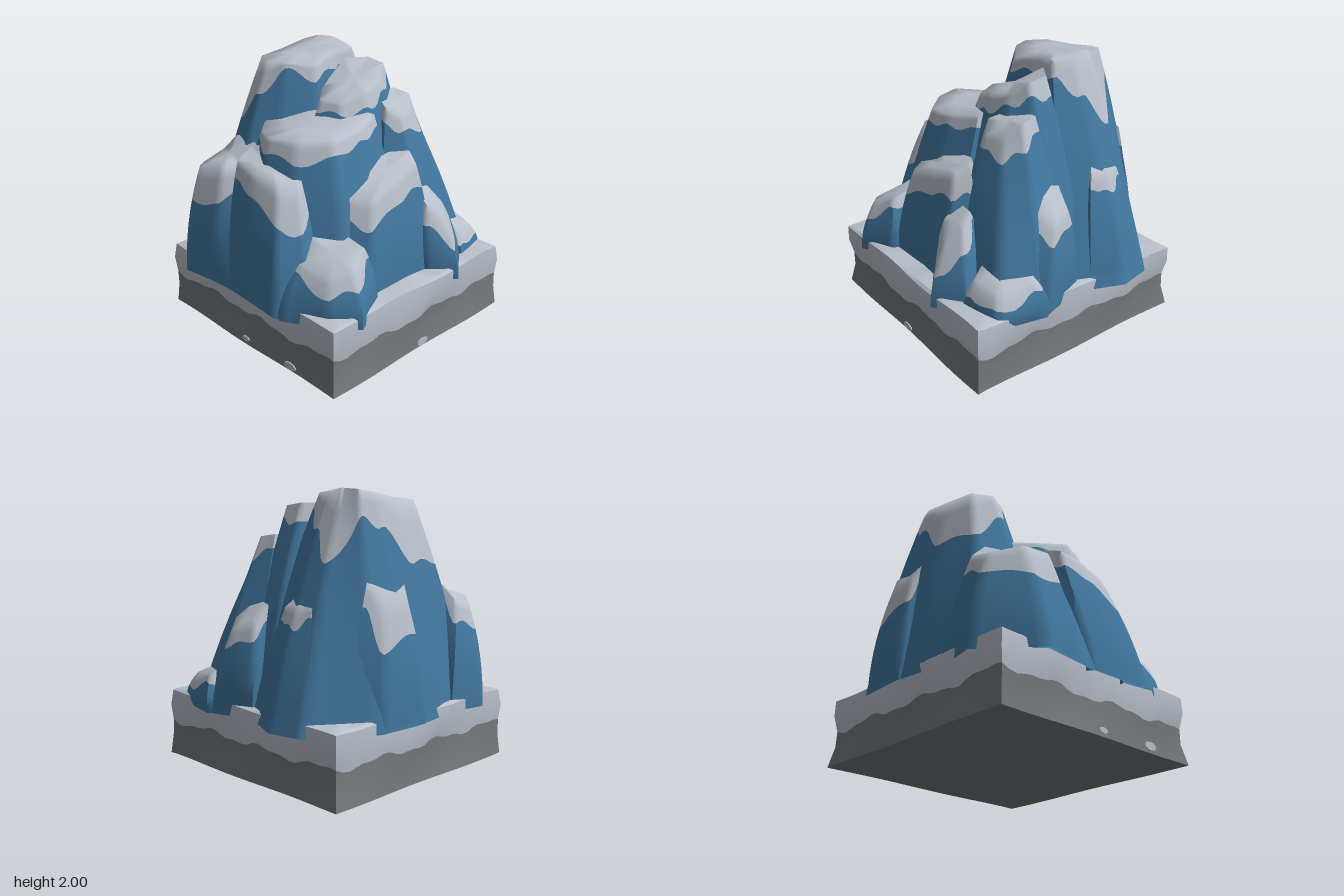
import * as THREE from 'three';
import { mergeVertices, toCreasedNormals } from 'three/addons/utils/BufferGeometryUtils.js';

const material = (name, color) => {
  const m = new THREE.MeshStandardMaterial({ color });
  m.name = name;
  return m;
};

const FOOT = 0.42;  // height where the rock meets the base
const STEPS = 6;    // subdivisions between two outline points

// Each outline point: rim x, y, z, foot x, z, height of the snow line.
const LOBES = {
  mainPeak: [
    [-0.18, 1.95, -0.15, 0.1, -0.2, 1.85], [-0.14, 1.9, 0.05, 0.1, 0.3, 1.8],
    [-0.28, 1.92, 0.22, -0.1, 0.5, 1.87], [-0.42, 1.92, 0.28, -0.4, 0.75, 1.68],
    [-0.56, 1.92, 0.2, -0.8, 0.6, 1.48], [-0.6, 1.93, -0.02, -0.89, 0.1, 1.5],
    [-0.6, 1.97, -0.25, -0.92, -0.15, 1.74], [-0.56, 1.99, -0.36, -0.9, -0.48, 1.8],
    [-0.42, 2, -0.38, -0.6, -0.93, 1.5], [-0.3, 1.98, -0.38, -0.35, -0.98, 1.72],
    [-0.16, 1.97, -0.33, 0.08, -0.8, 1.85]],
  secondPeak: [
    [0.2, 1.75, -0.1, 0.5, -0.1, 1.62], [0.15, 1.68, 0.08, 0.4, 0.3, 1.6],
    [0, 1.7, 0.14, 0, 0.5, 1.62], [-0.12, 1.74, 0, -0.2, 0.1, 1.7],
    [-0.15, 1.9, -0.25, -0.3, -0.3, 1.86], [-0.05, 1.9, -0.4, -0.1, -0.8, 1.75],
    [0.1, 1.88, -0.4, 0.1, -0.82, 1.78], [0.18, 1.78, -0.28, 0.5, -0.5, 1.7]],
  backShoulder: [
    [0.38, 1.55, -0.3, 0.72, -0.25, 1.45], [0.3, 1.62, -0.22, 0.5, 0, 1.5],
    [0.12, 1.68, -0.3, 0, -0.2, 1.6], [0.12, 1.68, -0.5, 0.05, -0.8, 1.6],
    [0.25, 1.66, -0.52, 0.35, -0.93, 1.5], [0.34, 1.58, -0.44, 0.65, -0.8, 1.42]],
  frontShoulder: [
    [0.38, 1.55, 0.15, 0.68, 0.2, 1.48], [0.37, 1.53, 0.38, 0.66, 0.5, 1.42],
    [0.2, 1.53, 0.55, 0.3, 0.75, 1.38], [0, 1.53, 0.62, 0, 0.8, 1.42],
    [-0.2, 1.5, 0.52, -0.3, 0.8, 1.44], [-0.35, 1.52, 0.35, -0.5, 0.6, 1.46],
    [-0.2, 1.6, 0.1, -0.3, 0.1, 1.55], [0.1, 1.62, -0.05, 0.1, -0.1, 1.55],
    [0.3, 1.6, -0.1, 0.6, -0.1, 1.5]],
  frontLeftLedge: [
    [-0.25, 1.24, 0.65, -0.1, 0.92, 1.12], [-0.35, 1.25, 0.76, -0.3, 0.93, 1],
    [-0.6, 1.2, 0.78, -0.58, 0.97, 0.95], [-0.76, 1.15, 0.62, -0.91, 0.6, 1],
    [-0.76, 1.2, 0.45, -0.85, 0.3, 1.05], [-0.62, 1.34, 0.42, -0.7, 0.3, 1.25],
    [-0.45, 1.38, 0.42, -0.4, 0.3, 1.3], [-0.25, 1.34, 0.5, -0.1, 0.4, 1.25]],
  frontLedge: [
    [0.3, 1.25, 0.64, 0.55, 0.78, 0.95], [0.22, 1.27, 0.74, 0.4, 0.95, 1],
    [0, 1.31, 0.76, 0.1, 0.93, 1.17], [-0.2, 1.34, 0.74, -0.1, 0.92, 1.2],
    [-0.22, 1.4, 0.6, -0.3, 0.6, 1.3], [-0.1, 1.44, 0.55, -0.1, 0.5, 1.35],
    [0.25, 1.32, 0.5, 0.4, 0.4, 1.25]],
  rightLedge: [
    [0.62, 1.22, 0, 0.73, 0, 1.08], [0.63, 1.15, 0.25, 0.75, 0.35, 0.95],
    [0.5, 1.15, 0.35, 0.6, 0.5, 1], [0.4, 1.28, 0.2, 0.3, 0.3, 1.2],
    [0.4, 1.33, -0.15, 0.3, -0.2, 1.25], [0.5, 1.34, -0.26, 0.5, -0.5, 1.15],
    [0.6, 1.28, -0.22, 0.76, -0.25, 1.12]],
  frontRightLedge: [
    [0.78, 0.8, 0.6, 0.91, 0.62, 0.68], [0.7, 0.76, 0.72, 0.75, 0.78, 0.64],
    [0.45, 0.78, 0.76, 0.45, 0.94, 0.72], [0.36, 0.92, 0.6, 0.2, 0.9, 0.88],
    [0.5, 0.92, 0.42, 0.4, 0.3, 0.88], [0.72, 0.88, 0.42, 0.78, 0.35, 0.8]],
  backRightLedge: [
    [0.7, 0.68, -0.6, 0.78, -0.58, 0.58], [0.5, 0.8, -0.5, 0.4, -0.4, 0.75],
    [0.36, 0.8, -0.65, 0.1, -0.75, 0.75], [0.4, 0.68, -0.88, 0.35, -0.95, 0.62],
    [0.66, 0.65, -0.8, 0.71, -0.87, 0.54]],
  rightSpur: [
    [0.76, 0.88, -0.35, 0.92, -0.37, 0.65], [0.7, 0.98, -0.24, 0.75, -0.2, 0.85],
    [0.58, 1.08, -0.25, 0.45, -0.2, 1], [0.58, 1.06, -0.38, 0.45, -0.5, 1],
    [0.68, 0.95, -0.43, 0.77, -0.58, 0.8]],
  backLedge: [
    [0.28, 1.1, -0.73, 0.48, -0.8, 0.97], [0.25, 1.25, -0.62, 0.4, -0.4, 1.17],
    [0.03, 1.2, -0.65, -0.05, -0.5, 1.12], [0.04, 1.06, -0.77, 0, -0.83, 0.97],
    [0.2, 1.03, -0.82, 0.32, -0.93, 0.9]],
  leftLedge: [
    [-0.6, 1.5, -0.3, -0.5, -0.3, 1.45], [-0.73, 1.4, -0.1, -0.8, 0, 1.3],
    [-0.81, 1.25, -0.15, -0.92, -0.08, 1.05], [-0.8, 1.25, -0.37, -0.9, -0.46, 0.95],
    [-0.72, 1.38, -0.45, -0.75, -0.6, 1.25]],
  backPatch: [
    [-0.22, 1.21, -0.71, -0.12, -0.87, 1.14], [-0.27, 1.29, -0.64, -0.2, -0.4, 1.24],
    [-0.43, 1.29, -0.64, -0.5, -0.4, 1.24], [-0.47, 1.21, -0.7, -0.55, -0.92, 1.15],
    [-0.35, 1.2, -0.73, -0.35, -0.97, 1.08]],
};

// Footprint of the whole mountain, used for the inner core.
const FOOTPRINT = [
  [0.73, 0], [0.75, 0.35], [0.9, 0.62], [0.65, 0.8], [0.4, 0.94], [-0.1, 0.91], [-0.57, 0.95],
  [-0.91, 0.6], [-0.85, 0.3], [-0.92, -0.1], [-0.89, -0.48], [-0.6, -0.92], [-0.35, -0.97],
  [0.08, -0.8], [0.35, -0.94], [0.7, -0.86], [0.77, -0.58], [0.91, -0.37], [0.75, -0.2]];

// Surface through closed rings of points, listed from bottom to top.
function skin(rows, crease) {
  const n = rows[0].length, pos = [], index = [];
  rows.forEach((row) => row.forEach((p) => pos.push(p.x, p.y, p.z)));
  for (let r = 0; r + 1 < rows.length; r++) {
    for (let i = 0; i < n; i++) {
      const j = (i + 1) % n, a = r * n + i, b = r * n + j;
      index.push(a, a + n, b, b, a + n, b + n);
    }
  }
  const g = new THREE.BufferGeometry();
  g.setAttribute('position', new THREE.Float32BufferAttribute(pos, 3));
  g.setIndex(index);
  return toCreasedNormals(mergeVertices(g), crease);
}

function addMesh(parent, name, geometry, mat) {
  const mesh = new THREE.Mesh(geometry, mat);
  mesh.name = name;
  parent.add(mesh);
  return mesh;
}

// Rock lobe with a wall from foot to rim, and snow hanging from the rim.
function makeLobe(name, points, rock, snow, bulge) {
  const group = new THREE.Group();
  group.name = name;
  const columns = [];
  points.forEach((p, i) => {
    const q = points[(i + 1) % points.length];
    for (let s = 0; s < STEPS; s++) {
      const k = s / STEPS, e = k * k * (3 - 2 * k);
      const c = p.map((v, d) => v + (q[d] - v) * (d === 5 ? e : k));
      const line = c[5] + 0.02 * Math.sin(columns.length * 0.9 + c[0] * 7);
      columns.push({
        rim: new THREE.Vector3(c[0], c[1], c[2]),
        foot: new THREE.Vector3(c[3], FOOT, c[4]),
        ts: THREE.MathUtils.clamp((line - FOOT) / (c[1] - FOOT), 0.1, 0.985),
      });
    }
  });
  const centre = new THREE.Vector3();
  columns.forEach((c) => centre.addScaledVector(c.rim, 1 / columns.length));
  const wall = (c, t) => {
    const p = c.foot.clone().lerp(c.rim, t);
    const out = p.clone().sub(centre).setY(0).normalize();
    return p.addScaledVector(out, bulge * 4 * t * (1 - t));
  };
  const rows = (count, f) => Array.from({ length: count + 1 }, (_, r) => columns.map((c) => wall(c, f(c, r / count))));
  const top = [0.5, 1].map((k) => columns.map((c) => {
    const p = c.rim.clone().lerp(centre, k);
    p.y += 0.012 * k;
    return p;
  }));
  if (snow) {
    addMesh(group, name + 'Rock', skin(rows(6, (c, k) => c.ts * k), 1), rock);
    addMesh(group, name + 'Snow', skin([...rows(3, (c, k) => c.ts + (1 - c.ts) * k), ...top], 1.3), snow);
  } else {
    addMesh(group, name + 'Rock', skin([...rows(6, (c, k) => k), ...top], 1), rock);
  }
  return group;
}

// Square plinth: grey stone below a wavy line, snow above it.
function makeBase(stone, snow) {
  const group = new THREE.Group();
  group.name = 'base';
  const N = 28, corners = [[0.89, -0.89], [0.89, 0.87], [-0.88, 0.87], [-0.88, -0.89]];
  const ring = (scale, height) => corners.flatMap(([x, z], i) => {
    const [x2, z2] = corners[(i + 1) % 4];
    return Array.from({ length: N }, (_, s) => {
      const k = s / N, a = (i + k) * 4;
      const w = scale + (scale > 0.5 ? 0.008 * Math.sin(a * 2.3 + height(0) * 9) : 0);
      return new THREE.Vector3((x + (x2 - x) * k) * w, height(a), (z + (z2 - z) * k) * w);
    });
  });
  const flat = (y) => () => y;
  const wavy = (a) => 0.255 + 0.018 * Math.sin(a * Math.PI * 1.5) + 0.01 * Math.sin(a * Math.PI * 3.5 + 1);
  const edge = (a) => 0.495 + 0.008 * Math.sin(a * Math.PI);
  addMesh(group, 'stonePlinth', skin([
    ring(0, flat(0)), ring(1.01, flat(0)), ring(0.985, flat(0.15)), ring(0.985, wavy)], 0.6), stone);
  addMesh(group, 'snowPlinth', skin([
    ring(0.985, wavy), ring(1.005, flat(0.38)), ring(0.995, edge), ring(0.97, flat(0.505)), ring(0, flat(0.5))], 0.6), snow);
  // Small snow patches at the bottom edge
  [[-0.01, 0.883, 0.04, 0], [0.47, 0.883, 0.06, 0], [0.903, -0.01, 0.055, Math.PI / 2]].forEach(([x, z, r, turn]) => {
    const patch = addMesh(group, 'snowPatch', new THREE.CylinderGeometry(r, r, 0.008, 10).rotateX(Math.PI / 2), snow);
    patch.scale.y = 0.5;
    patch.position.set(x, 0.045, z);
    patch.rotation.y = turn;
  });
  return group;
}

export function createModel() {
  const rock = material('blue rock', 0x41779f);
  const snow = material('pale snow', 0xb9c0cb);
  const stone = material('grey stone', 0x75787c);
  const model = new THREE.Group();
  model.name = 'snowyMountain';
  model.add(makeBase(stone, snow));
  const core = FOOTPRINT.map(([x, z]) => [x * 0.4, 1.3, z * 0.4, x, z, 1.3]);
  model.add(makeLobe('core', core, rock, null, -0.08));
  for (const [name, points] of Object.entries(LOBES)) {
    const bulge = { secondPeak: 0.05, backPatch: 0.025 }[name] ?? 0.035;
    model.add(makeLobe(name, points, rock, snow, bulge));
  }
  return model;
}
